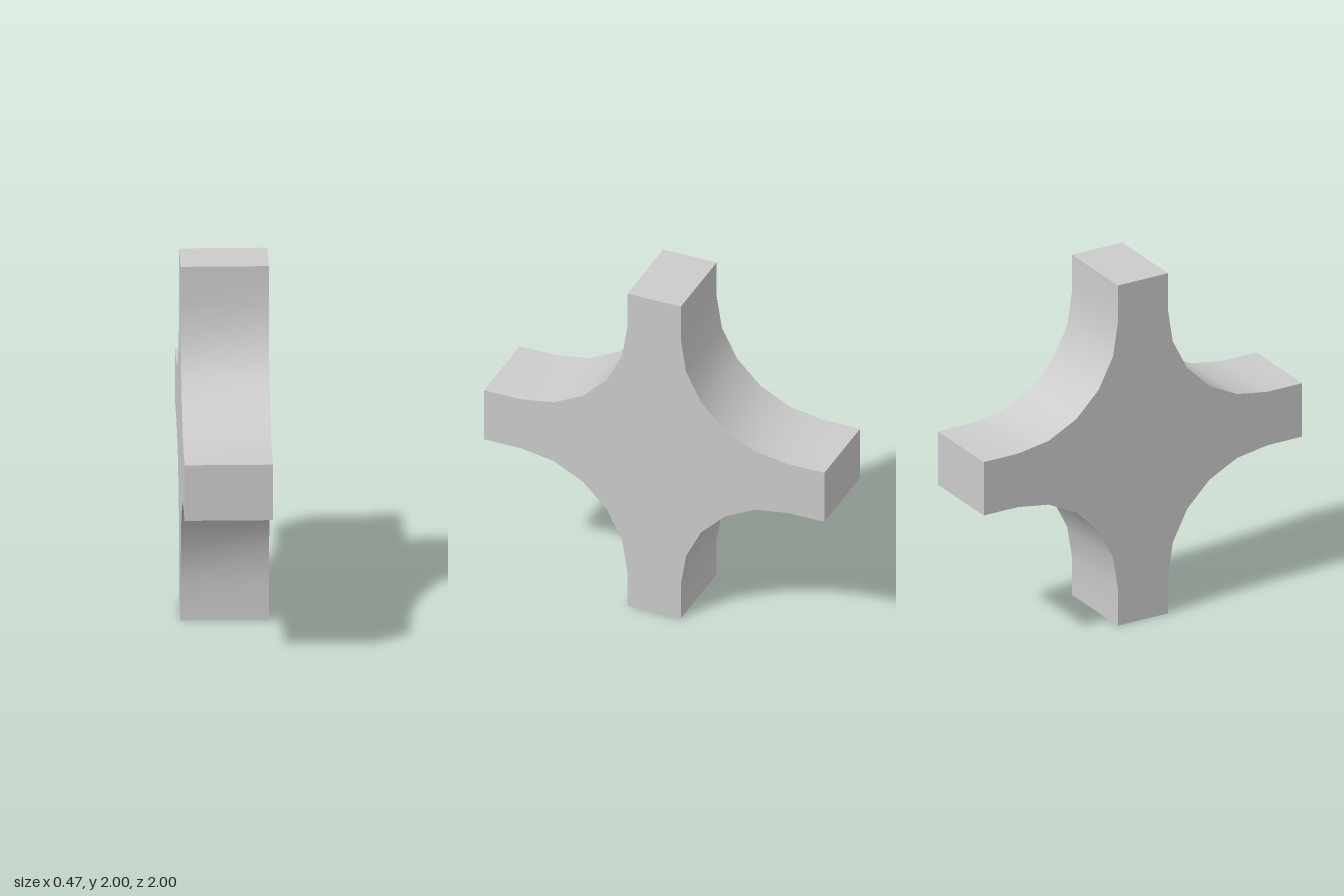
import * as THREE from 'three';
import { toCreasedNormals } from 'three/addons/utils/BufferGeometryUtils.js';

const HALF_ARM = 0.157;   // half the width of an arm
const RADIUS = 0.628;     // fillet between neighbouring arms
const DEPTH = 0.474;
const STEPS = 5;          // facets per fillet

export function createModel() {
  const group = new THREE.Group();
  group.name = 'filletedCross';

  // One quadrant: arm end, concave fillet, next arm end
  const c = HALF_ARM + RADIUS;
  const quadrant = [new THREE.Vector2(1, HALF_ARM)];
  for (let i = 0; i <= STEPS; i++) {
    const a = (i / STEPS) * Math.PI / 2;
    quadrant.push(new THREE.Vector2(c - RADIUS * Math.sin(a), c - RADIUS * Math.cos(a)));
  }
  quadrant.push(new THREE.Vector2(HALF_ARM, 1));

  // Four quarter turns complete the outline
  const outline = [];
  for (let k = 0; k < 4; k++) {
    for (const p of quadrant) {
      outline.push(p.clone().rotateAround(new THREE.Vector2(), k * Math.PI / 2));
    }
  }

  // Extrude along x, smooth over the fillets and sharp at the edges
  const geometry = new THREE.ExtrudeGeometry(new THREE.Shape(outline), {
    depth: DEPTH, bevelEnabled: false,
  });
  geometry.translate(0, 0, -DEPTH / 2);
  geometry.rotateY(Math.PI / 2);
  geometry.translate(0, 1, 0);

  const cross = new THREE.Mesh(
    toCreasedNormals(geometry, 0.6),
    new THREE.MeshStandardMaterial({ color: 0xcccccc }),
  );
  cross.name = 'crossBody';
  group.add(cross);
  return group;
}
